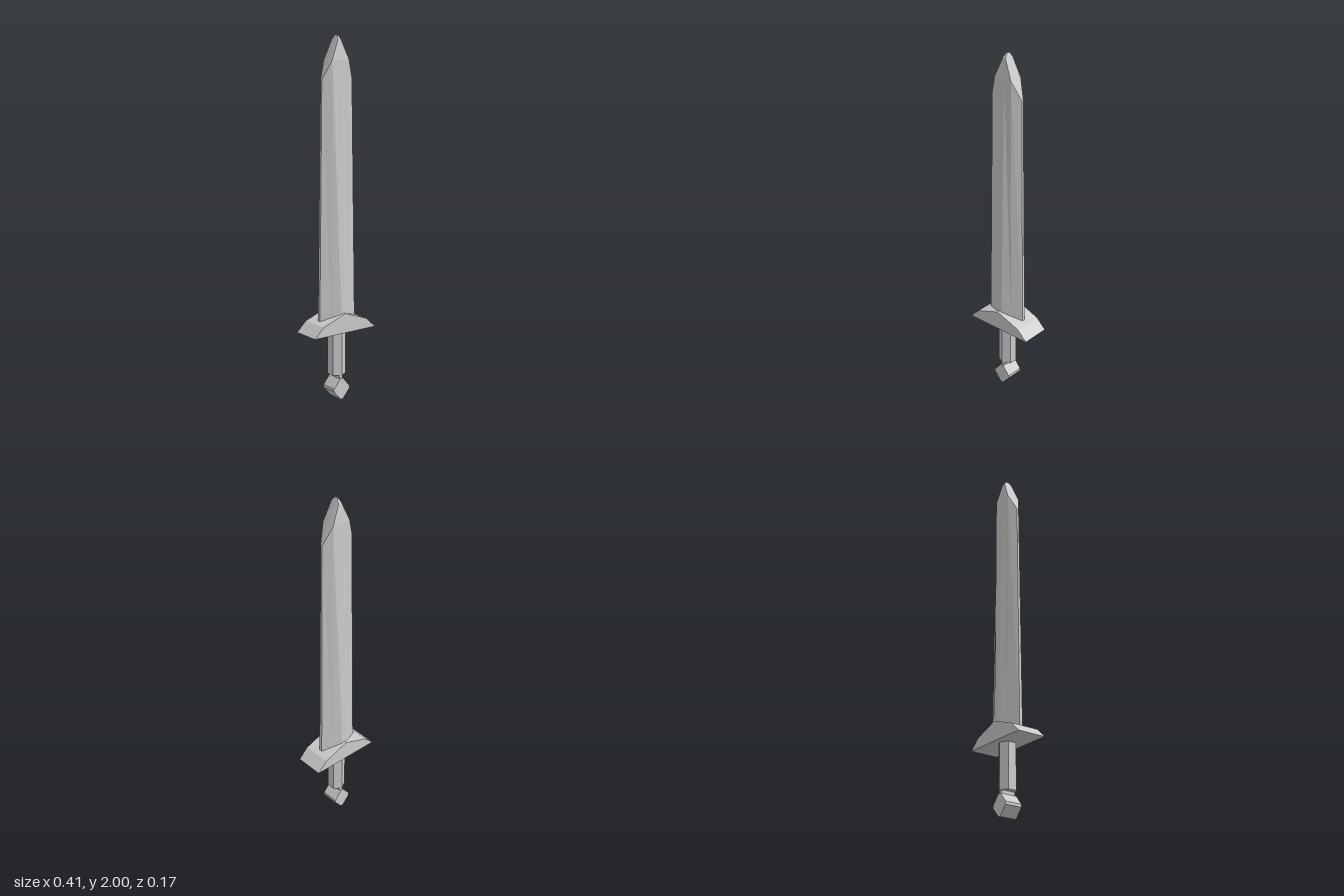
import * as THREE from 'three';

const material = new THREE.MeshStandardMaterial({ color: 0xcccccc, flatShading: true });

function addPart(group, name, geometry, y = 0) {
  const mesh = new THREE.Mesh(geometry, material);
  mesh.name = name;
  mesh.position.y = y;
  group.add(mesh);
}

// Prism with a front outline, centred on z = 0
function prism(points, depth) {
  const shape = new THREE.Shape(points.map(([x, y]) => new THREE.Vector2(x, y)));
  return new THREE.ExtrudeGeometry(shape, { depth, bevelEnabled: false }).translate(0, 0, -depth / 2);
}

// Mirrors a quarter row (edge, bevel, ridge) into a closed ring, seen clockwise from the front to the left
function mirrorRow(quarter) {
  const back = [...quarter].reverse();
  return [
    ...quarter,
    ...back.map(([x, y, z]) => [-x, y, z]),
    ...quarter.map(([x, y, z]) => [-x, y, -z]),
    ...back.map(([x, y, z]) => [x, y, -z]),
  ];
}

// Blade lofted through mirrored rows, with a chisel-cut point
function bladeGeometry() {
  const edge = [0.1, 1.77, 0.006];
  const bevel = [0.055, 1.872, 0.038];
  const tip = [0.003, 2, 0.01];
  const rows = [
    [[0.12, 0.43, 0.009], [0.063, 0.43, 0.041], [0.013, 0.43, 0.068]],
    [edge, bevel, [0.012, 1.872, 0.04]],
    [edge, bevel, [0.01, 1.977, 0.027]],
    [tip, tip, tip],
  ].map(mirrorRow);

  const positions = [];
  const triangle = (a, b, c) => {
    const [p, q, r] = [a, b, c].map((v) => new THREE.Vector3(...v));
    const area = q.clone().sub(p).cross(r.clone().sub(p)).length();
    if (area > 1e-8) positions.push(...a, ...b, ...c);
  };
  for (let r = 0; r < rows.length - 1; r++) {
    const low = rows[r], high = rows[r + 1], n = low.length;
    for (let i = 0; i < n; i++) {
      const j = (i + 1) % n;
      triangle(low[i], high[j], low[j]);
      triangle(low[i], high[i], high[j]);
    }
  }
  // Small flat at the very tip
  const [x, y, z] = tip;
  triangle([x, y, z], [x, y, -z], [-x, y, -z]);
  triangle([x, y, z], [-x, y, -z], [-x, y, z]);

  // Rings run from +x over +z, so each triangle is flipped to face outwards
  const geometry = new THREE.BufferGeometry();
  geometry.setAttribute('position', new THREE.Float32BufferAttribute(positions, 3));
  const p = geometry.attributes.position;
  const a = new THREE.Vector3(), b = new THREE.Vector3(), c = new THREE.Vector3();
  const inside = new THREE.Vector3();
  for (let i = 0; i < p.count; i += 3) {
    a.fromBufferAttribute(p, i);
    b.fromBufferAttribute(p, i + 1);
    c.fromBufferAttribute(p, i + 2);
    inside.set(0, 1.2, 0);
    const normal = b.clone().sub(a).cross(c.clone().sub(a));
    if (normal.dot(a.clone().sub(inside)) < 0) {
      p.setXYZ(i + 1, c.x, c.y, c.z);
      p.setXYZ(i + 2, b.x, b.y, b.z);
    }
  }
  geometry.computeVertexNormals();
  return geometry;
}

export function createModel() {
  const sword = new THREE.Group();
  sword.name = 'sword';

  addPart(sword, 'blade', bladeGeometry());

  // Crossguard with a two-step roof
  addPart(sword, 'crossguard', prism(
    [[-0.207, 0.392], [0.207, 0.392], [0.149, 0.448], [0, 0.502], [-0.149, 0.448]], 0.166));

  // Six-sided grip with corners to the front and back
  addPart(sword, 'grip', new THREE.CylinderGeometry(0.05, 0.05, 0.255, 6), 0.2655);

  // Thin neck and diamond pommel
  addPart(sword, 'neck', new THREE.BoxGeometry(0.022, 0.03, 0.084), 0.128);
  addPart(sword, 'pommel', prism(
    [[-0.008, 0], [0.008, 0], [0.053, 0.052], [0.053, 0.068], [0.01, 0.12],
      [-0.01, 0.12], [-0.053, 0.068], [-0.053, 0.052]], 0.1));

  return sword;
}
